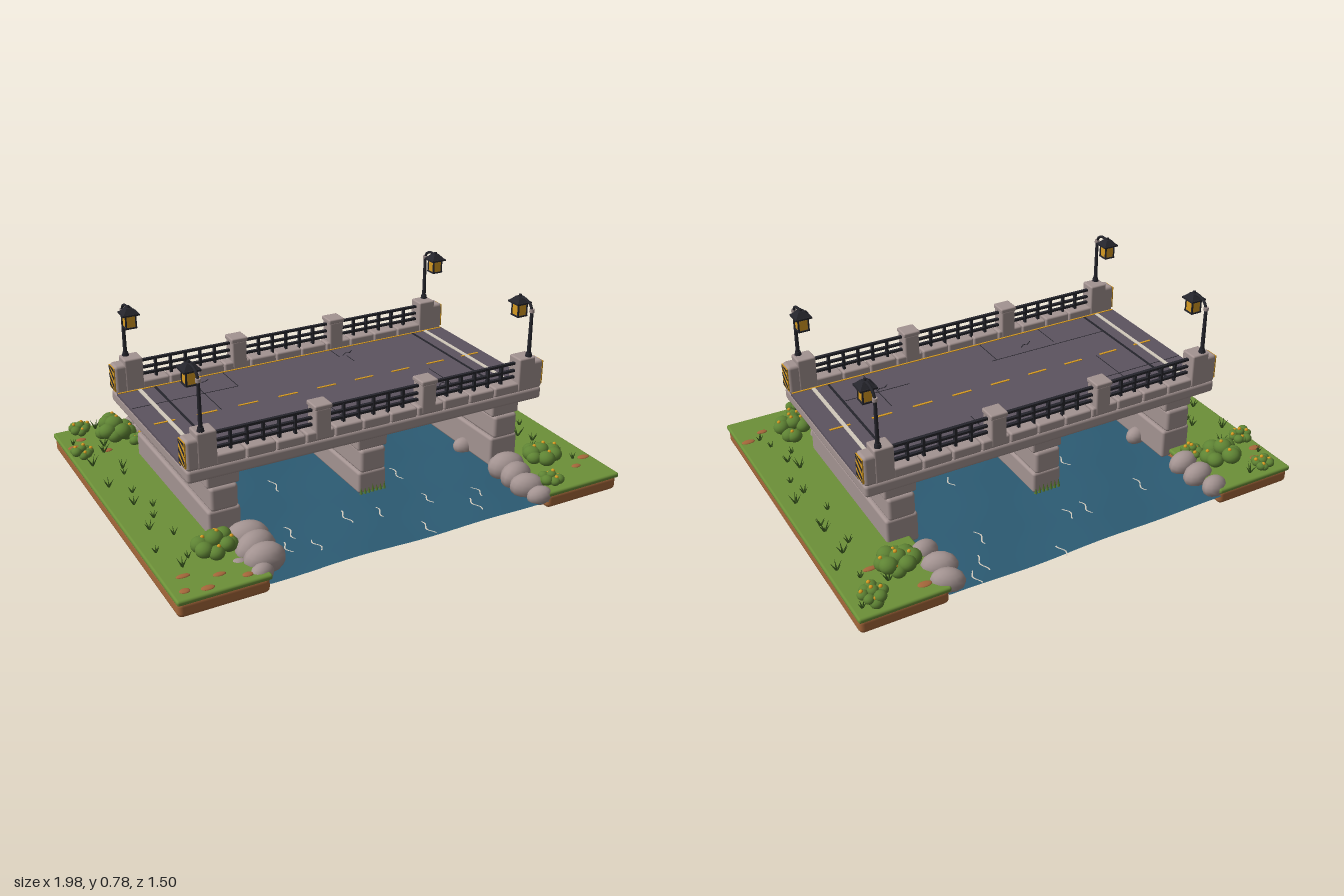
import * as THREE from 'three';
import { RoundedBoxGeometry } from 'three/addons/geometries/RoundedBoxGeometry.js';

const mat = (name, color, side = THREE.FrontSide) => {
  const m = new THREE.MeshStandardMaterial({ color, side });
  m.name = name;
  return m;
};

export function createModel() {
  const stone = mat('stone', 0xa39391), road = mat('asphalt', 0x5c535f), grass = mat('grass', 0x6c9038),
    dirt = mat('earth', 0xa5673a), water = mat('water', 0x2c5b73, THREE.DoubleSide), iron = mat('iron', 0x25252c),
    amber = mat('amber', 0xd69a22), leaf = mat('foliage', 0x5f8434), pale = mat('pale paint', 0xd2cabc),
    blade = mat('grass blades', 0x3c5c20, THREE.DoubleSide);
  const model = new THREE.Group();
  model.name = 'roadBridge';

  let seed = 7;
  const rnd = (a = 0, b = 1) => {
    seed = (seed * 16807) % 2147483647;
    return a + (b - a) * (seed / 2147483647);
  };
  const group = (name, parent = model) => {
    const g = new THREE.Group();
    g.name = name;
    parent.add(g);
    return g;
  };
  const add = (parent, name, geo, material, x = 0, y = 0, z = 0) => {
    const m = new THREE.Mesh(geo, material);
    m.name = name;
    m.position.set(x, y, z);
    parent.add(m);
    return m;
  };
  // Boxes given by their limits, plain or with softened edges
  const box = (p, name, material, x0, x1, y0, y1, z0, z1, r = 0) => {
    const s = [x1 - x0, y1 - y0, z1 - z0];
    const geo = r ? new RoundedBoxGeometry(...s, 2, r) : new THREE.BoxGeometry(...s);
    return add(p, name, geo, material, (x0 + x1) / 2, (y0 + y1) / 2, (z0 + z1) / 2);
  };
  const ball = new THREE.SphereGeometry(1, 12, 9);
  const leafBall = new THREE.IcosahedronGeometry(1, 2);

  // Banks: earth with an overhanging turf layer
  for (const s of [-1, 1]) {
    const bank = group(s > 0 ? 'leftBank' : 'rightBank');
    const x0 = s > 0 ? 0.625 : -0.985, x1 = s > 0 ? 0.985 : -0.625;
    box(bank, 'earth', dirt, x0, x1, 0, 0.066, -0.738, 0.738, 0.02);
    box(bank, 'turf', grass, x0 - 0.005, x1 + 0.005, 0.058, 0.08, -0.745, 0.745, 0.009);
  }

  // River sheet with low waves
  const sheet = new THREE.PlaneGeometry(1.26, 1.48, 36, 36).rotateX(-Math.PI / 2);
  const wave = (x, z) => 0.042 + 0.003 * Math.sin(x * 11 + z * 6) + 0.003 * Math.sin(z * 17 - x * 5);
  const sp = sheet.attributes.position;
  for (let i = 0; i < sp.count; i++) sp.setY(i, wave(sp.getX(i), sp.getZ(i)));
  sheet.computeVertexNormals();
  add(model, 'river', sheet, water);

  // Pale ripples lying on the river
  const ripples = group('ripples');
  const rippleSpots = [[0.13, -0.72], [0.5, -0.7], [-0.1, -0.53], [-0.02, -0.53], [-0.39, -0.5], [0.37, -0.5], [0.44, -0.64],
    [-0.47, 0.55], [-0.36, 0.59], [-0.41, 0.46], [-0.17, 0.47], [-0.03, 0.5], [0.08, 0.68], [0.2, 0.49], [0.34, 0.63],
    [0.41, 0.55], [-0.3, 0.1], [0.3, -0.1], [-0.2, -0.2], [0.2, 0.25]];
  for (const [x, z] of rippleSpots) {
    const geo = new THREE.PlaneGeometry(0.006, rnd(0.07, 0.1), 1, 8).rotateX(-Math.PI / 2);
    const p = geo.attributes.position, ph = rnd(0, 6);
    for (let i = 0; i < p.count; i++) {
      const px = p.getX(i) + 0.009 * Math.sin(p.getZ(i) * 75 + ph);
      p.setXYZ(i, px, wave(x + px, z + p.getZ(i)) + 0.004, p.getZ(i));
    }
    geo.computeVertexNormals();
    add(ripples, 'ripple', geo, pale, x, 0, z);
  }

  // Piers: stacked courses
  const pier = (name, x, yBase, wBase) => {
    const g = group(name);
    box(g, 'base', stone, x - wBase, x + wBase, yBase, 0.178, -0.39, 0.39, 0.012);
    box(g, 'shaft', stone, x - 0.057, x + 0.057, 0.176, 0.278, -0.396, 0.396, 0.014);
    box(g, 'cap', stone, x - 0.068, x + 0.068, 0.276, 0.34, -0.388, 0.388, 0.01);
    return g;
  };
  pier('rightAbutment', -0.65, 0.045, 0.068);
  pier('leftAbutment', 0.65, 0.045, 0.068);
  const middle = pier('middlePier', 0, 0.083, 0.064);

  // Deck slab and carriageway
  const deck = group('deck');
  box(deck, 'slab', stone, -0.805, 0.805, 0.335, 0.389, -0.422, 0.422, 0.014);
  box(deck, 'carriageway', road, -0.803, 0.803, 0.375, 0.394, -0.352, 0.352);
  const paint = (name, m, x0, x1, z0, z1, h = 0.0025) => box(deck, name, m, x0, x1, 0.393, 0.394 + h, z0, z1);
  for (const s of [-1, 1]) {
    paint('edgeLine', amber, -0.8, 0.8, s * 0.343 - 0.004, s * 0.343 + 0.004);
    paint('stopLine', pale, s * 0.708 - 0.008, s * 0.708 + 0.008, -0.337, 0.337, 0.004);
    paint('expansionJoint', iron, s * 0.64 - 0.005, s * 0.64 + 0.005, -0.337, 0.337);
  }
  for (let i = 0; i < 9; i++) {
    const x = -0.728 + i * 0.182;
    paint('centreDash', amber, x - 0.044, x + 0.044, -0.005, 0.005);
  }
  // Slab seams as [x0, x1, z0, z1]
  const seams = [[-0.8, -0.33, -0.18, -0.177], [-0.33, -0.327, -0.337, -0.178], [-0.485, -0.482, -0.337, -0.0],
    [-0.64, -0.06, 0.178, 0.181], [-0.085, -0.082, 0.18, 0.337], [-0.39, -0.387, 0.2, 0.337], [0.2, 0.203, -0.337, -0.25],
    [0.34, 0.64, 0.178, 0.181], [0.48, 0.483, 0.05, 0.337], [0.235, 0.238, -0.25, -0.18]];
  for (const s of seams) paint('seam', iron, ...s, 0.001);
  // Short jagged cracks
  for (const [x, z] of [[-0.48, -0.28], [0.22, -0.27], [0.42, 0.21], [-0.3, 0.25]]) {
    for (let i = 0; i < 3; i++) {
      const c = paint('crack', iron, x + i * 0.022, x + i * 0.022 + 0.026, z - 0.002, z + 0.002, 0.001);
      c.position.z -= i * 0.008;
      c.rotation.y = i % 2 ? -0.2 : 0.7;
    }
  }

  // Striped warning plate, built facing +z
  const warningPlate = () => {
    const g = new THREE.Group();
    g.name = 'warningPlate';
    box(g, 'plate', amber, -0.03, 0.03, -0.052, 0.052, 0, 0.005);
    const clamp = v => THREE.MathUtils.clamp(v, -0.052, 0.052);
    for (const y of [-0.085, -0.045, -0.005, 0.035]) {
      const pts = [[-0.03, y + 0.042], [0.03, y], [0.03, y + 0.02], [-0.03, y + 0.062]];
      const shape = new THREE.Shape(pts.map(p => new THREE.Vector2(p[0], clamp(p[1]))));
      add(g, 'stripe', new THREE.ShapeGeometry(shape), iron, 0, 0, 0.0062);
    }
    return g;
  };

  // Lamp: pole, curved arm to -z and hanging lantern
  const lamp = () => {
    const g = new THREE.Group();
    g.name = 'streetLamp';
    add(g, 'foot', new THREE.CylinderGeometry(0.012, 0.016, 0.02, 8), iron, 0, 0.54, 0);
    add(g, 'pole', new THREE.CylinderGeometry(0.007, 0.009, 0.21, 8), iron, 0, 0.635, 0);
    add(g, 'collar', new THREE.CylinderGeometry(0.011, 0.011, 0.014, 8), stone, 0, 0.735, 0);
    const path = new THREE.CatmullRomCurve3([[0.735, 0], [0.757, -0.012], [0.77, -0.04], [0.77, -0.065], [0.76, -0.083]]
      .map(([y, z]) => new THREE.Vector3(0, y, z)));
    add(g, 'arm', new THREE.TubeGeometry(path, 14, 0.006, 7), iron);
    const l = group('lantern', g);
    l.position.z = -0.083;
    box(l, 'glass', amber, -0.021, 0.021, 0.693, 0.748, -0.021, 0.021);
    box(l, 'tray', iron, -0.025, 0.025, 0.688, 0.694, -0.025, 0.025);
    for (const x of [-0.021, 0.021]) for (const z of [-0.021, 0.021])
      box(l, 'frameBar', iron, x - 0.003, x + 0.003, 0.69, 0.75, z - 0.003, z + 0.003);
    box(l, 'eaves', iron, -0.035, 0.035, 0.745, 0.752, -0.035, 0.035);
    const roof = new THREE.CylinderGeometry(0.018, 0.046, 0.022, 4).rotateY(Math.PI / 4).toNonIndexed();
    roof.computeVertexNormals();
    add(l, 'roof', roof, iron, 0, 0.762, 0);
    add(l, 'finial', new THREE.CylinderGeometry(0.006, 0.008, 0.012, 6), iron, 0, 0.776, 0);
    return g;
  };

  // Parapets: curb stones, posts, rails, plates and lamps
  for (const s of [1, -1]) {
    const side = group(s > 0 ? 'frontParapet' : 'backParapet');
    const zc = s * 0.385;
    for (let i = 0; i < 11; i++) {
      const x = -0.69 + i * 0.1255;
      box(side, 'curbStone', stone, x + 0.002, x + 0.1235, 0.385, 0.427 + rnd(-0.003, 0.003), zc - 0.034, zc + 0.034, 0.008);
    }
    for (const x of [-0.24, 0.24]) {
      box(side, 'post', stone, x - 0.034, x + 0.034, 0.388, 0.52, zc - 0.036, zc + 0.036, 0.008);
      box(side, 'postCap', stone, x - 0.038, x + 0.038, 0.515, 0.535, zc - 0.039, zc + 0.039, 0.006);
    }
    for (const e of [-1, 1]) {
      box(side, 'endBlock', stone, e * 0.748 - 0.057, e * 0.748 + 0.057, 0.385, 0.512, zc - 0.036, zc + 0.036, 0.013);
      box(side, 'endPost', stone, e * 0.722 - 0.04, e * 0.722 + 0.04, 0.388, 0.534, zc - 0.038, zc + 0.038, 0.007);
      const plate = warningPlate();
      plate.position.set(e * 0.804, 0.452, zc);
      plate.rotation.y = e * Math.PI / 2;
      side.add(plate);
      const l = lamp();
      l.position.set(e * 0.738, 0, s * 0.403);
      l.rotation.y = s > 0 ? 0 : Math.PI;
      side.add(l);
    }
    for (const y of [0.446, 0.474, 0.507])
      box(side, 'rail', iron, -0.69, 0.69, y - 0.005, y + 0.005, zc - 0.007, zc + 0.007);
    for (const [a, b] of [[-0.682, -0.278], [-0.202, 0.202], [0.278, 0.682]])
      for (let i = 1; i < 6; i++) {
        const x = a + (b - a) * i / 6;
        box(side, 'baluster', iron, x - 0.005, x + 0.005, 0.42, 0.507, zc - 0.008, zc + 0.008);
      }
  }

  // Rocks along the waterline: [x, z, radius]
  const rocks = group('rocks');
  const rockSpots = [[-0.6, 0.47, 0.085], [-0.6, 0.55, 0.083], [-0.6, 0.63, 0.08], [-0.64, 0.69, 0.05], [-0.69, 0.6, 0.04],
    [0.61, 0.47, 0.08], [0.6, 0.55, 0.075], [0.59, 0.64, 0.07], [0.6, 0.71, 0.05], [-0.62, -0.49, 0.065], [-0.62, -0.59, 0.065],
    [-0.63, -0.69, 0.06], [0.61, -0.49, 0.06], [0.6, -0.6, 0.07], [0.61, -0.69, 0.065], [-0.58, -0.2, 0.05], [-0.58, 0.2, 0.05],
    [0.58, -0.2, 0.05], [0.58, 0.2, 0.05]];
  for (const [x, z, r] of rockSpots) {
    const m = add(rocks, 'rock', ball, stone, x, 0.03 + r * 0.6, z);
    m.scale.set(r * 1.05, r * 0.8, r * 0.75);
    m.rotation.set(rnd(-0.2, 0.2), rnd(-0.4, 0.4), rnd(-0.2, 0.2));
  }

  // Bushes: leafy clumps with small blossoms, [x, z, radius]
  for (const [x, z, r] of [[-0.76, -0.57, 0.09], [-0.88, -0.69, 0.05], [-0.94, -0.47, 0.05], [-0.68, -0.47, 0.05], [0.75, -0.56, 0.085],
    [0.9, -0.67, 0.06], [-0.75, 0.515, 0.085], [0.75, 0.515, 0.085], [0.68, 0.68, 0.055]]) {
    const bush = group('bush');
    bush.position.set(x, 0.075, z);
    for (let i = 0; i < 9; i++) {
      const a = i * 0.785 + rnd(0, 0.4), d = i < 8 ? r * rnd(0.5, 0.68) : 0, q = r * rnd(0.36, 0.46);
      const y = i < 8 ? r * rnd(0.35, 0.75) : r * 0.85;
      const px = Math.cos(a) * d, pz = Math.sin(a) * d;
      add(bush, 'leafClump', leafBall, leaf, px, y, pz).scale.set(q, q * 0.85, q);
      if (i % 2 === 0) add(bush, 'blossom', ball, amber, px + q * 0.3, y + q * 0.78, pz).scale.setScalar(0.008);
    }
  }

  // Grass tufts
  const tuft = (parent, x, y, z, h) => {
    for (let i = 0; i < 5; i++) {
      const a = i * 1.257 + rnd();
      const b = add(parent, 'blade', new THREE.ConeGeometry(0.005, h, 3).translate(0, h / 2, 0), blade, x, y, z);
      b.rotation.set(Math.sin(a) * 0.55, 0, Math.cos(a) * 0.55);
    }
  };
  const tufts = group('grassTufts');
  for (const s of [-1, 1])
    for (let i = 0; i < 17; i++)
      tuft(tufts, s * rnd(0.8, 0.96), 0.078, -0.68 + i * 0.077 + rnd(-0.02, 0.02), rnd(0.03, 0.055));

  // Weeds at the foot of the middle pier
  for (const s of [-1, 1]) for (let i = 0; i < 7; i++) {
    const h = rnd(0.025, 0.045);
    add(middle, 'weed', new THREE.ConeGeometry(0.008, h, 4), leaf, -0.054 + i * 0.018, 0.083 + h / 2, s * 0.392);
  }

  // Flat clay stones set in the turf
  const clay = group('clayStones');
  for (const [x, z] of [[-0.79, 0.65], [-0.94, 0.69], [-0.86, 0.71], [-0.91, 0.6], [-0.7, 0.7], [-0.9, -0.62], [-0.83, -0.47],
    [-0.95, -0.56], [0.87, 0.61], [0.95, 0.56], [0.84, -0.5], [0.7, -0.68]]) {
    const m = add(clay, 'clayStone', ball, dirt, x, 0.08, z);
    m.scale.set(rnd(0.018, 0.03), 0.006, rnd(0.012, 0.018));
  }
  return model;
}
